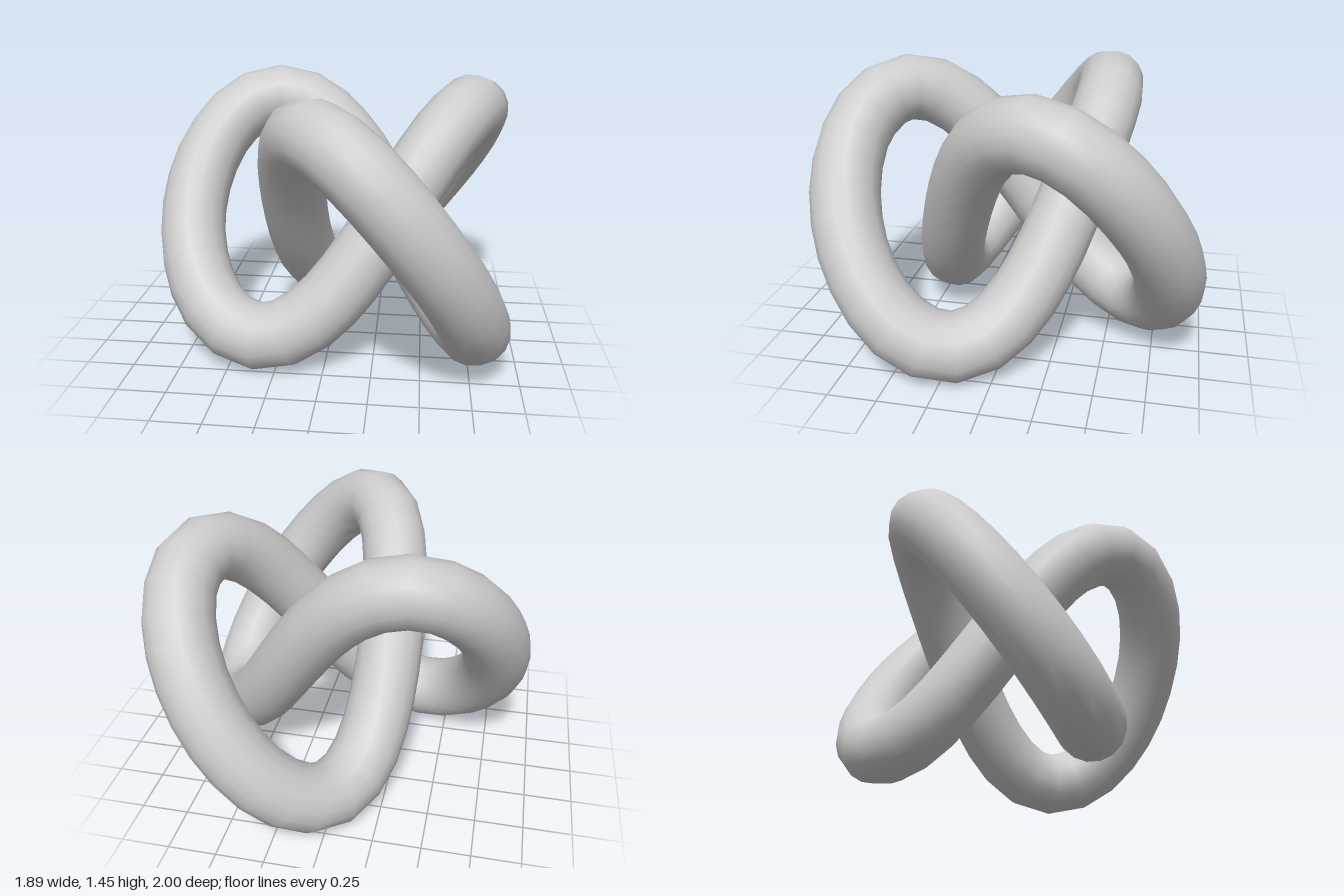
import * as THREE from 'three';

// Closed centre line: three lobes around a vertical axis, weaving over and under
class TrefoilCurve extends THREE.Curve {
  getPoint(u, target = new THREE.Vector3()) {
    const t = u * Math.PI * 2;
    const main = 0.607, lobe = 0.2375, sharpen = 0.0475;
    return target.set(
      0.122 - (lobe * Math.cos(t) + main * Math.cos(2 * t) + sharpen * Math.cos(5 * t)),
      0.728 + 0.553 * Math.sin(3 * t),
      lobe * Math.sin(t) - main * Math.sin(2 * t) - sharpen * Math.sin(5 * t)
    );
  }
}

export function createModel() {
  const group = new THREE.Group();
  group.name = 'trefoilKnot';

  // Round tube swept along the knot
  const knot = new THREE.Mesh(
    new THREE.TubeGeometry(new TrefoilCurve(), 72, 0.176, 16, true),
    new THREE.MeshStandardMaterial({ color: 0xcccccc })
  );
  knot.name = 'knotTube';
  group.add(knot);
  return group;
}
